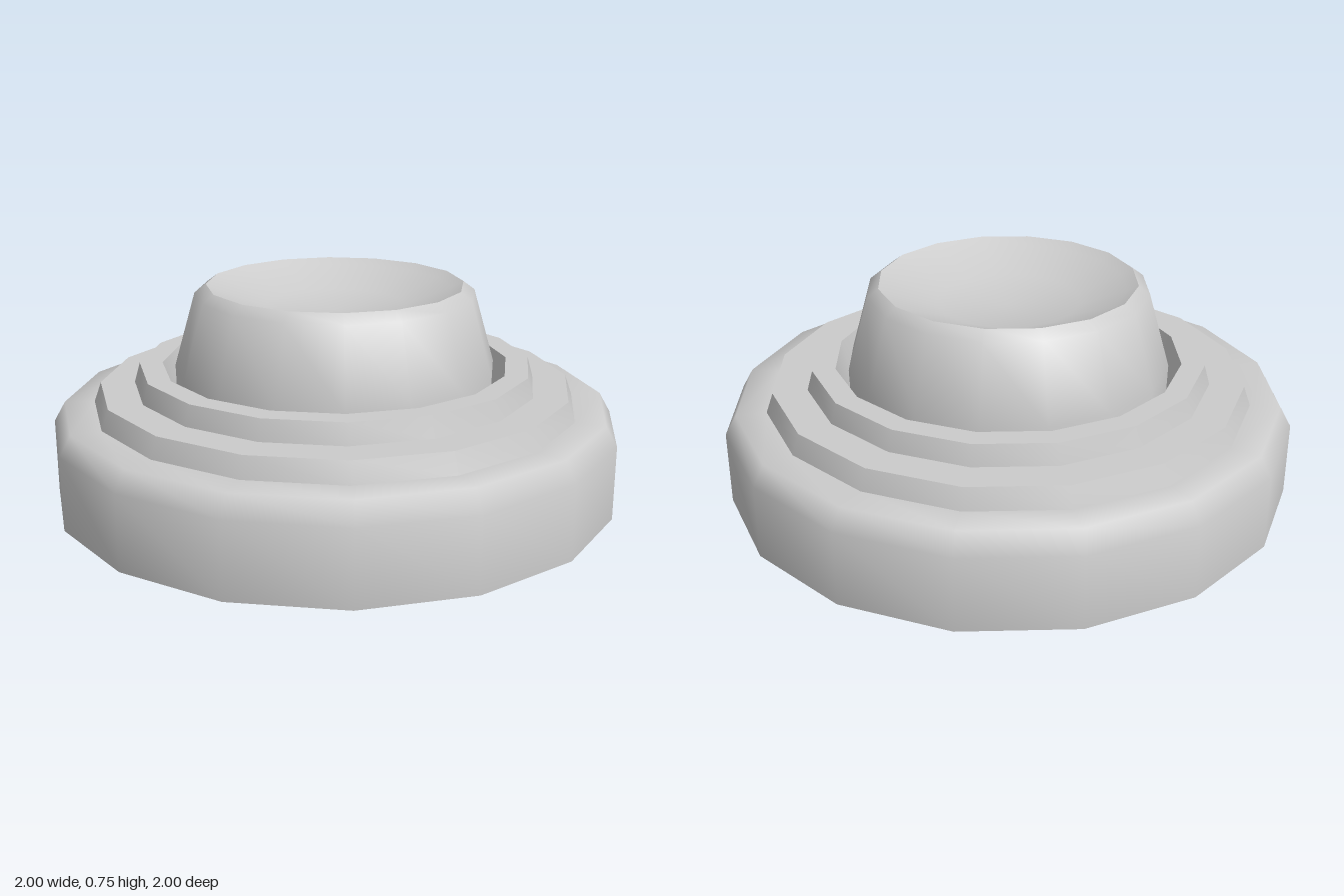
import * as THREE from 'three';
import { toCreasedNormals } from 'three/addons/utils/BufferGeometryUtils.js';

const SIDES = 16;
const material = new THREE.MeshStandardMaterial({ color: 0xcccccc, side: THREE.DoubleSide });

// Revolves a [radius, height] profile into a 16-sided shell, creased only at the sharp steps.
function turned(name, profile) {
  const points = profile.map(([r, y]) => new THREE.Vector2(r, y));
  const geometry = toCreasedNormals(new THREE.LatheGeometry(points, SIDES), 1.1);
  const mesh = new THREE.Mesh(geometry, material);
  mesh.name = name;
  return mesh;
}

export function createModel() {
  const group = new THREE.Group();
  group.name = 'steppedKnob';

  // Open-bottomed base: bevelled wall, then two shallow steps
  group.add(turned('steppedBase', [
    [1, 0], [1, 0.26], [0.96, 0.33],
    [0.855, 0.33], [0.83, 0.4],
    [0.71, 0.4], [0.69, 0.47], [0.61, 0.47],
  ]));

  // Groove wall dropping from the top step to the foot of the knob
  group.add(turned('groove', [[0.61, 0.47], [0.56, 0.25]]));

  // Tapered knob with a rounded rim and a shallow dished top
  group.add(turned('knob', [
    [0.56, 0.25], [0.565, 0.46], [0.49, 0.72], [0.45, 0.75],
    [0.41, 0.73], [0.25, 0.67], [0, 0.65],
  ]));

  return group;
}
